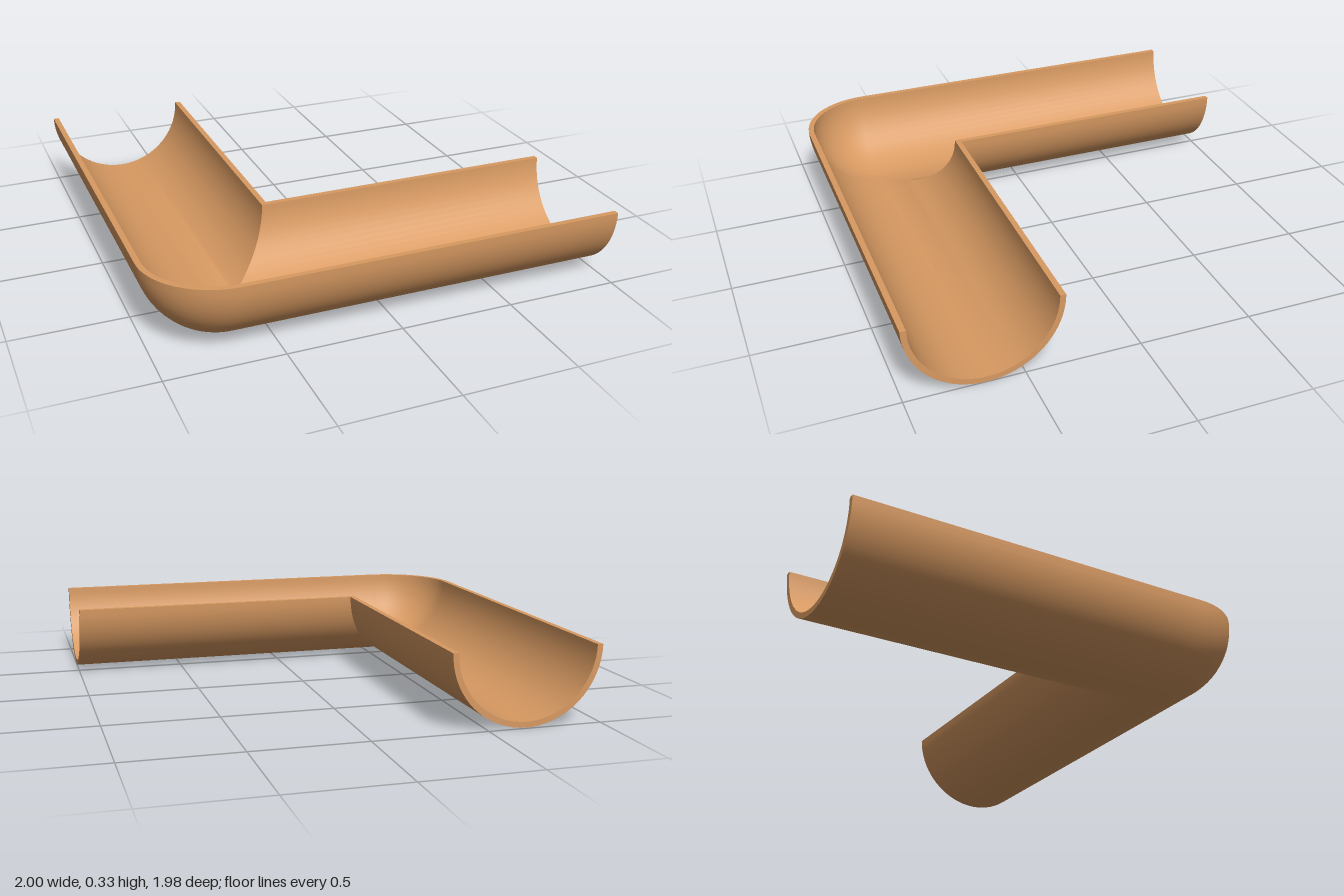
import * as THREE from 'three';
import { toCreasedNormals } from 'three/addons/utils/BufferGeometryUtils.js';

const R = 0.33, WALL = 0.025;    // outer radius and wall thickness
const CX = -0.67, CZ = 0.66;     // where the two centre lines meet
const BACK = -0.99, RIGHT = 1;   // open ends
const SEG = 36, BEND = 16;

// Closed half-ring section: u points to the outside of the bend, y is height
function section() {
  const pts = [];
  for (let i = 0; i <= SEG; i++) {
    const a = (i / SEG) * Math.PI;
    pts.push([R * Math.cos(a), R - R * Math.sin(a)]);
  }
  for (let i = SEG; i >= 0; i--) {
    const a = (i / SEG) * Math.PI, r = R - WALL;
    pts.push([r * Math.cos(a), R - r * Math.sin(a)]);
  }
  return pts;
}

// Sweep with a mitred inner half and a rounded outer half at the corner
function gutterGeometry() {
  const profile = section(), n = profile.length;
  const rings = [profile.map(([u, y]) => new THREE.Vector3(CX - u, y, BACK))];
  for (let k = 0; k <= BEND; k++) {
    const t = (k / BEND) * Math.PI / 2;
    rings.push(profile.map(([u, y]) => u > 1e-6
      ? new THREE.Vector3(CX - u * Math.cos(t), y, CZ + u * Math.sin(t))
      : new THREE.Vector3(CX - u, y, CZ + u)));
  }
  rings.push(profile.map(([u, y]) => new THREE.Vector3(RIGHT, y, CZ + u)));

  const pos = [];
  const tri = (a, b, c) => {
    if (a.distanceTo(b) < 1e-6 || b.distanceTo(c) < 1e-6 || c.distanceTo(a) < 1e-6) return;
    for (const p of [a, b, c]) pos.push(p.x, p.y, p.z);
  };
  for (let s = 0; s < rings.length - 1; s++) {
    const A = rings[s], B = rings[s + 1];
    for (let i = 0; i < n; i++) {
      const j = (i + 1) % n;
      tri(A[i], A[j], B[i]);
      tri(A[j], B[j], B[i]);
    }
  }
  // Cut faces of the wall at both open ends
  const first = rings[0], last = rings[rings.length - 1];
  for (let i = 0; i < SEG; i++) {
    const q = n - 1 - i;
    tri(first[i], first[q], first[i + 1]);
    tri(first[i + 1], first[q], first[q - 1]);
    tri(last[i], last[i + 1], last[q]);
    tri(last[i + 1], last[q - 1], last[q]);
  }
  const geo = new THREE.BufferGeometry();
  geo.setAttribute('position', new THREE.Float32BufferAttribute(pos, 3));
  return toCreasedNormals(geo, Math.PI / 6);
}

export function createModel() {
  const group = new THREE.Group();
  group.name = 'gutterCorner';
  const copper = new THREE.MeshStandardMaterial({ color: 0xd89a62 });
  const gutter = new THREE.Mesh(gutterGeometry(), copper);
  gutter.name = 'halfRoundGutter';
  group.add(gutter);
  return group;
}
